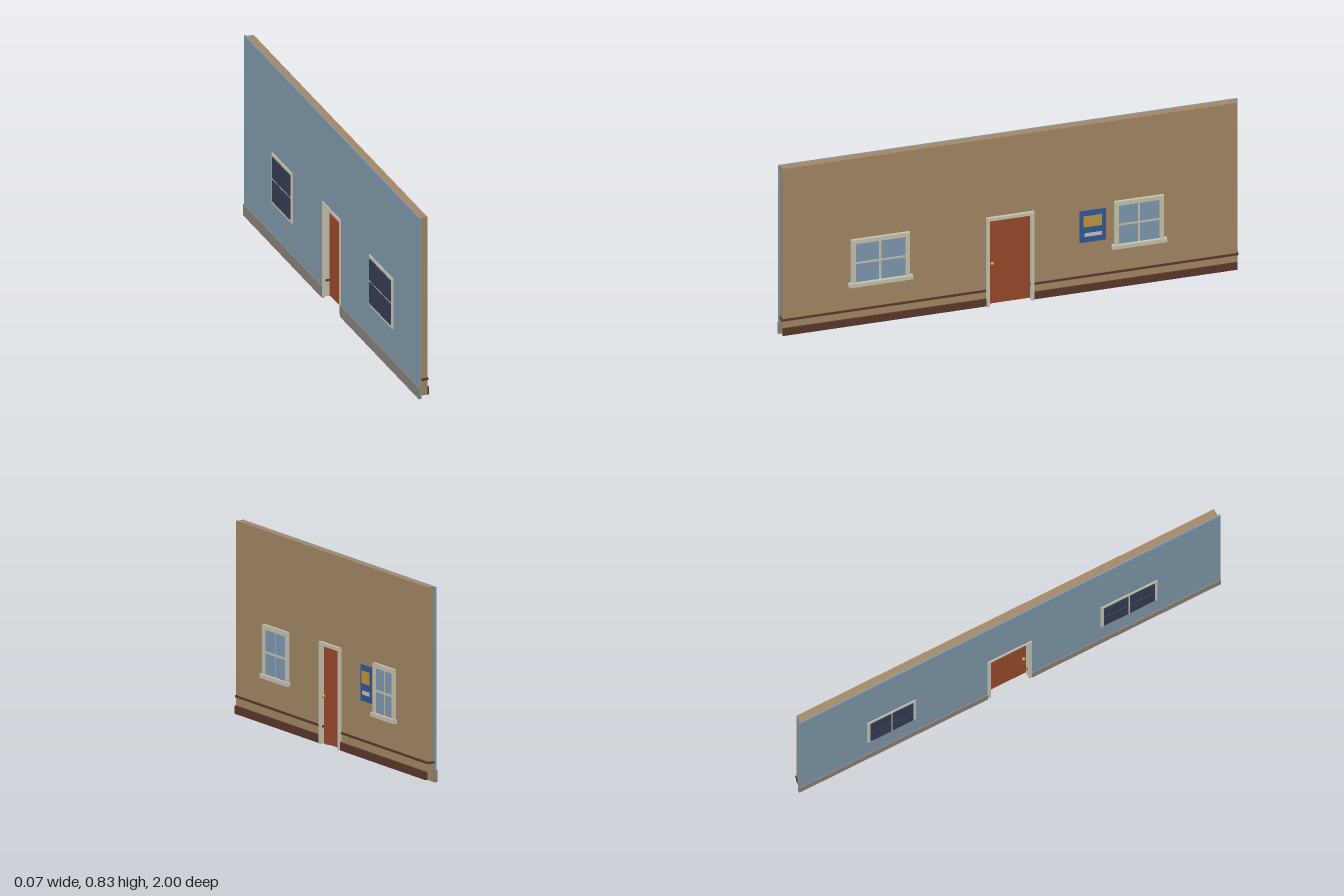
import * as THREE from 'three';

const mat = (name, color) => {
  const m = new THREE.MeshStandardMaterial({ color });
  m.name = name;
  return m;
};

export function createModel() {
  const tan = mat('tan plaster', 0xa38765);
  const blue = mat('blue siding', 0x7d97a7);
  const cream = mat('cream trim', 0xc8c3b0);
  const red = mat('red door paint', 0x98492c);
  const brown = mat('dark wood', 0x5b372a);
  const grey = mat('grey stone', 0x88807a);
  const glass = mat('light glass', 0x7f99b0);
  const darkGlass = mat('dark glass', 0x343b52);
  const posterBlue = mat('poster blue', 0x2f5a98);
  const gold = mat('gold', 0xc4963c);

  const root = new THREE.Group();
  root.name = 'wallSection';

  // Box given by its limits on each axis
  const box = (parent, name, material, x0, x1, y0, y1, z0, z1) => {
    const mesh = new THREE.Mesh(new THREE.BoxGeometry(x1 - x0, y1 - y0, z1 - z0), material);
    mesh.position.set((x0 + x1) / 2, (y0 + y1) / 2, (z0 + z1) / 2);
    mesh.name = name;
    parent.add(mesh);
    return mesh;
  };

  // Arch-shaped slab (a rectangle open at the bottom), extruded through the wall
  const arch = (name, material, x0, x1, y0, outerZ, outerTop, innerZ, innerTop) => {
    const pts = [[-outerZ, y0], [-innerZ, y0], [-innerZ, innerTop], [innerZ, innerTop],
      [innerZ, y0], [outerZ, y0], [outerZ, outerTop], [-outerZ, outerTop]];
    const shape = new THREE.Shape(pts.map(([x, y]) => new THREE.Vector2(x, y)));
    const geo = new THREE.ExtrudeGeometry(shape, { depth: x1 - x0, bevelEnabled: false });
    geo.rotateY(Math.PI / 2);
    geo.translate(x0, 0, 0);
    const mesh = new THREE.Mesh(geo, material);
    mesh.name = name;
    root.add(mesh);
  };

  // Wall layers with the door opening
  arch('innerWall', tan, -0.018, 0.013, 0.01, 0.99, 0.83, 0.1, 0.44);
  arch('outerSiding', blue, -0.025, -0.018, 0.01, 1, 0.83, 0.1, 0.44);

  // Plinth, skirting and rail on both sides of the door
  for (const s of [-1, 1]) {
    const strip = (name, m, x0, x1, y0, y1, a, b) =>
      box(root, name, m, x0, x1, y0, y1, Math.min(s * a, s * b), Math.max(s * a, s * b));
    strip('plinth', grey, -0.03, -0.0175, 0, 0.052, 0.104, 1);
    strip('skirting', brown, 0.012, 0.02, 0.01, 0.045, 0.1, 0.99);
    strip('chairRail', brown, -0.0185, 0.0165, 0.079, 0.089, 0.088, 0.995);
  }

  // Door with casing and knobs
  arch('doorCasing', cream, -0.03, 0.026, 0.01, 0.104, 0.445, 0.09, 0.43);
  box(root, 'doorLeaf', red, -0.001, 0.008, 0.014, 0.43, -0.09, 0.09);
  for (const x of [-0.008, 0.015]) {
    const knob = new THREE.Mesh(new THREE.SphereGeometry(0.008, 16, 12), gold);
    knob.position.set(x, 0.214, 0.077);
    knob.name = 'doorKnob';
    root.add(knob);
  }

  // Two-by-two panes filling a rectangle, with glazing bars between
  const panes = (parent, m, x0, x1, y0, y1, z0, z1, bar) => {
    const h = (y1 - y0 - bar) / 2, w = (z1 - z0 - bar) / 2;
    for (const i of [0, 1]) for (const j of [0, 1]) {
      const y = y0 + i * (h + bar), z = z0 + j * (w + bar);
      box(parent, 'pane', m, x0, x1, y, y + h, z, z + w);
    }
  };

  // Windows
  const addWindow = (name, c, half) => {
    const g = new THREE.Group();
    g.name = name;
    root.add(g);
    const inZ = half - 0.02;
    // inner side: raised frame, recessed glass and bars, sill
    for (const s of [-1, 1]) {
      const a = c + s * half, b = c + s * inZ;
      box(g, 'frameSide', cream, 0.012, 0.025, 0.215, 0.434, Math.min(a, b), Math.max(a, b));
    }
    box(g, 'frameTop', cream, 0.012, 0.025, 0.414, 0.434, c - inZ, c + inZ);
    box(g, 'glazingBars', cream, 0.012, 0.018, 0.22, 0.414, c - inZ, c + inZ);
    panes(g, glass, 0.0175, 0.0195, 0.22, 0.414, c - inZ, c + inZ, 0.011);
    box(g, 'sill', cream, 0.012, 0.033, 0.205, 0.223, c - half - 0.011, c + half + 0.011);
    // outer side: flat frame with dark panes
    const o = half + 0.006;
    box(g, 'outerFrame', cream, -0.03, -0.024, 0.195, 0.427, c - o, c + o);
    panes(g, darkGlass, -0.034, -0.03, 0.209, 0.413, c - o + 0.014, c + o - 0.014, 0.009);
  };
  addWindow('wideWindow', 0.565, 0.128);
  addWindow('narrowWindow', -0.561, 0.108);

  // Poster
  box(root, 'poster', posterBlue, 0.012, 0.016, 0.252, 0.407, -0.417, -0.304);
  box(root, 'posterPanel', gold, 0.015, 0.0175, 0.327, 0.381, -0.4, -0.32);
  box(root, 'posterStrip', cream, 0.015, 0.0175, 0.28, 0.297, -0.4, -0.325);

  return root;
}
